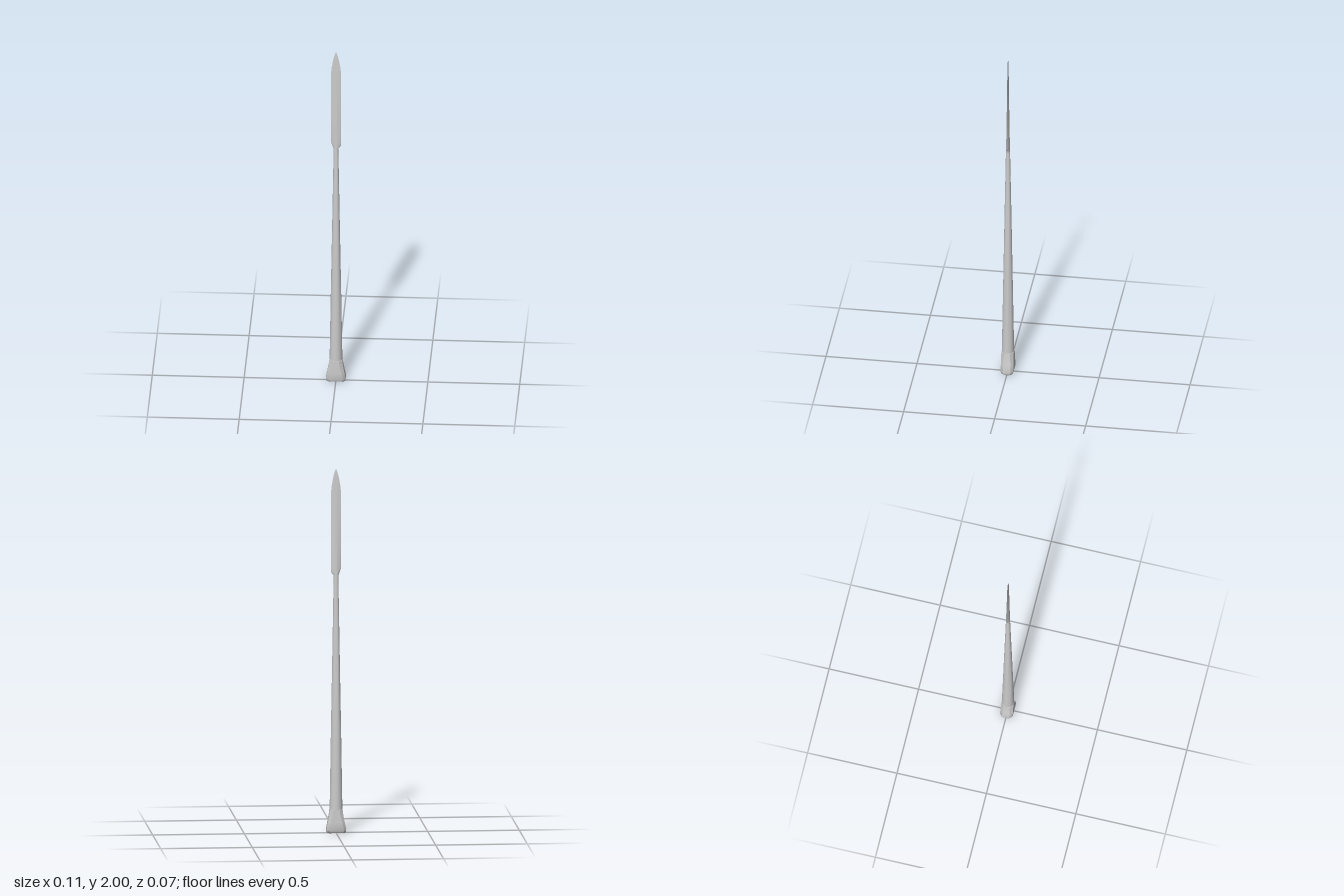
import * as THREE from 'three';
import { toCreasedNormals } from 'three/addons/utils/BufferGeometryUtils.js';

const SIDES = 16;
const material = new THREE.MeshStandardMaterial({ color: 0xcccccc });

// Joins rings of [x, y, z] points, listed bottom to top, and caps both ends.
function loft(name, rings, crease) {
  const positions = rings.flat(2);
  const index = [];
  const last = (rings.length - 1) * SIDES;
  for (let j = 0; j < rings.length - 1; j++) {
    for (let i = 0; i < SIDES; i++) {
      const a = j * SIDES + i, b = j * SIDES + (i + 1) % SIDES;
      index.push(a, a + SIDES, b, b, a + SIDES, b + SIDES);
    }
  }
  for (let i = 1; i < SIDES - 1; i++) {
    index.push(0, i, i + 1);
    index.push(last, last + i + 1, last + i);
  }
  const geometry = new THREE.BufferGeometry();
  geometry.setAttribute('position', new THREE.Float32BufferAttribute(positions, 3));
  geometry.setIndex(index);
  const mesh = new THREE.Mesh(toCreasedNormals(geometry, crease), material);
  mesh.name = name;
  return mesh;
}

const angles = Array.from({ length: SIDES }, (_, i) => (i / SIDES) * Math.PI * 2);

// Round section: half width w, half depth d.
const roundRing = (y, w, d) => angles.map(a => [w * Math.cos(a), y, d * Math.sin(a)]);

// Rectangle with cut corners, with the middle of each side as an extra point.
function footRing(y, w, d, cut) {
  const corners = [
    [w, -d + cut], [w, d - cut], [w - cut, d], [-w + cut, d],
    [-w, d - cut], [-w, -d + cut], [-w + cut, -d], [w - cut, -d],
  ];
  return corners.flatMap(([x, z], i) => {
    const [nx, nz] = corners[(i + 1) % 8];
    return [[(x + nx) / 2, y, (z + nz) / 2], [nx, y, nz]];
  });
}

// Blade section: power 1 is round, 2 is a sharp-edged lens.
const bladeRing = (y, left, right, depth, power) => angles.map(a => {
  const s = Math.sin(a), c = Math.cos(a);
  return [c * (c > 0 ? left : right), y, depth * Math.sign(s) * Math.abs(s) ** power];
});

export function createModel() {
  const group = new THREE.Group();
  group.name = 'bladedTool';

  // Flared foot with cut corners and a slightly bowed underside
  group.add(loft('foot', [
    footRing(0, 0.049, 0.022, 0.01),
    footRing(0.006, 0.052, 0.031, 0.013),
    footRing(0.018, 0.054, 0.0355, 0.014),
    footRing(0.06, 0.046, 0.035, 0.015),
    footRing(0.1, 0.0385, 0.0345, 0.017),
    footRing(0.13, 0.035, 0.034, 0.018),
  ], 0.6));

  // Long tapering shaft
  group.add(loft('shaft', [
    roundRing(0.125, 0.035, 0.034),
    roundRing(0.5, 0.029, 0.0275),
    roundRing(1.0, 0.02, 0.019),
    roundRing(1.405, 0.013, 0.0115),
  ], 0.6));

  // Thin blade: y, left half width, right half width, half depth, section power
  const bladeSections = [
    [1.4, 0.013, 0.013, 0.0115, 1],
    [1.415, 0.015, 0.015, 0.011, 1.2],
    [1.43, 0.027, 0.02, 0.0105, 1.8],
    [1.455, 0.028, 0.028, 0.01, 2],
    [1.6, 0.028, 0.028, 0.0075, 2],
    [1.75, 0.028, 0.028, 0.0045, 2],
    [1.85, 0.028, 0.028, 0.003, 2],
    [1.9, 0.025, 0.025, 0.0024, 2],
    [1.95, 0.016, 0.016, 0.0016, 2],
    [1.98, 0.0085, 0.0085, 0.001, 2],
    [2.0, 0.0008, 0.0008, 0.0003, 2],
  ];
  group.add(loft('blade', bladeSections.map(s => bladeRing(...s)), 0.5));

  return group;
}
